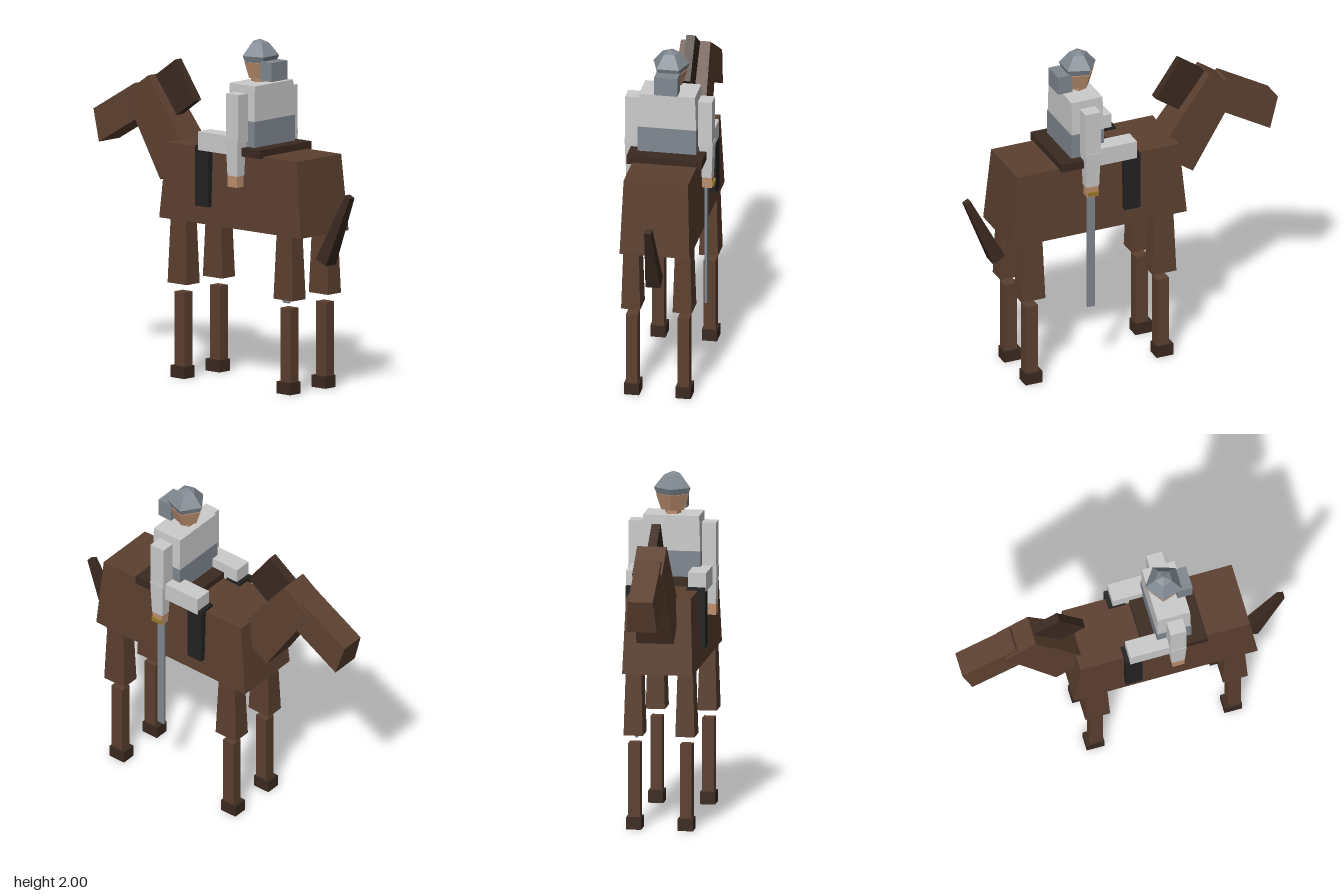
import * as THREE from 'three';

const mat = (color) => new THREE.MeshStandardMaterial({ color, flatShading: true, roughness: 0.9 });
const HIDE = mat(0x5c4030), DARK = mat(0x3b2a20), BOOT = mat(0x222222), CLOTH = mat(0xcccccc),
  STEEL = mat(0x808890), SKIN = mat(0xbd8f6e), BRASS = mat(0x9a7a2a);

export function createModel() {
  const model = new THREE.Group();
  model.name = 'mountedRider';
  const horse = new THREE.Group(), rider = new THREE.Group();
  horse.name = 'horse';
  rider.name = 'rider';
  model.add(horse, rider);

  const add = (parent, name, geometry, material, x, y, z, tilt = 0) => {
    const mesh = new THREE.Mesh(geometry, material);
    mesh.name = name;
    mesh.position.set(x, y, z);
    mesh.rotation.x = THREE.MathUtils.degToRad(tilt);
    parent.add(mesh);
    return mesh;
  };
  const box = (w, h, d) => new THREE.BoxGeometry(w, h, d);
  // Box whose top face has its own width and depth
  const taper = (w, d, h, topW, topD) => {
    const g = box(w, h, d), p = g.attributes.position;
    for (let i = 0; i < p.count; i++) {
      if (p.getY(i) > 0) p.setXYZ(i, p.getX(i) * topW / w, p.getY(i), p.getZ(i) * topD / d);
    }
    g.computeVertexNormals();
    return g;
  };
  // Five-sided turned shape with one corner pointing forward along the horse
  const five = (profile) =>
    new THREE.LatheGeometry(profile.map(([r, y]) => new THREE.Vector2(r, y)), 5, Math.PI);

  // Horse trunk, neck and head
  add(horse, 'body', taper(0.407, 1.095, 0.44, 0.375, 1.01), HIDE, 0, 1.14, 0.207);
  add(horse, 'horseNeck', taper(0.215, 0.266, 0.547, 0.172, 0.222), HIDE, 0, 1.419, -0.468, -35);
  add(horse, 'horseHead', taper(0.175, 0.457, 0.188, 0.145, 0.369), HIDE, 0, 1.474, -0.762, -30);
  add(horse, 'mane', box(0.052, 0.27, 0.274), DARK, 0, 1.62, -0.413, -35);
  add(horse, 'tail', taper(0.087, 0.085, 0.44, 0.04, 0.04), DARK, 0, 0.963, 0.857, 25);
  add(horse, 'saddle', box(0.44, 0.05, 0.37), DARK, 0, 1.375, 0.267);

  // Legs with separate shins and hooves
  for (const side of [-1, 1]) {
    for (const [end, z] of [['hind', 0.62], ['front', -0.2]]) {
      const x = 0.15 * side;
      add(horse, end + 'UpperLeg', taper(0.111, 0.148, 0.37, 0.09, 0.12), HIDE, x, 0.735, z);
      add(horse, end + 'LowerLeg', box(0.068, 0.43, 0.077), HIDE, x, 0.285, z);
      add(horse, end + 'Hoof', box(0.088, 0.07, 0.106), DARK, x, 0.035, z - 0.009);
    }
  }

  // Rider torso and head
  add(rider, 'waist', box(0.342, 0.15, 0.204), STEEL, 0, 1.475, 0.266);
  add(rider, 'chest', taper(0.34, 0.197, 0.205, 0.326, 0.194), CLOTH, 0, 1.6525, 0.266);
  add(rider, 'neck', new THREE.CylinderGeometry(0.048, 0.048, 0.06, 5), SKIN, 0, 1.765, 0.25);
  add(rider, 'head', five([[0, 1.775], [0.07, 1.778], [0.1, 1.87], [0, 1.9]]), SKIN, 0, 0, 0.252);
  add(rider, 'helmet', five([[0, 1.862], [0.093, 1.864], [0.112, 1.908], [0.052, 1.98], [0, 2]]),
    STEEL, 0, 0, 0.252);
  add(rider, 'neckGuard', box(0.136, 0.11, 0.09), STEEL, 0, 1.828, 0.36);

  // Arms and legs
  for (const side of [-1, 1]) {
    add(rider, 'upperArm', box(0.082, 0.28, 0.095), CLOTH, 0.212 * side, 1.57, 0.268);
    add(rider, 'forearm', taper(0.064, 0.078, 0.215, 0.08, 0.093), CLOTH, 0.217 * side, 1.3425, 0.268);
    add(rider, 'hand', box(0.058, 0.065, 0.071), SKIN, 0.222 * side, 1.2025, 0.268);
    add(rider, 'thigh', box(0.106, 0.108, 0.27), CLOTH, 0.18 * side, 1.406, 0.12);
    add(rider, 'boot', box(0.107, 0.35, 0.1), BOOT, 0.176 * side, 1.201, 0.01);
  }

  // Sword hanging from one hand
  add(rider, 'swordGuard', box(0.1, 0.024, 0.066), BRASS, 0.212, 1.192, 0.268);
  add(rider, 'swordBlade', box(0.016, 0.74, 0.045), STEEL, 0.212, 0.81, 0.266);

  model.position.x = -0.004;
  return model;
}
